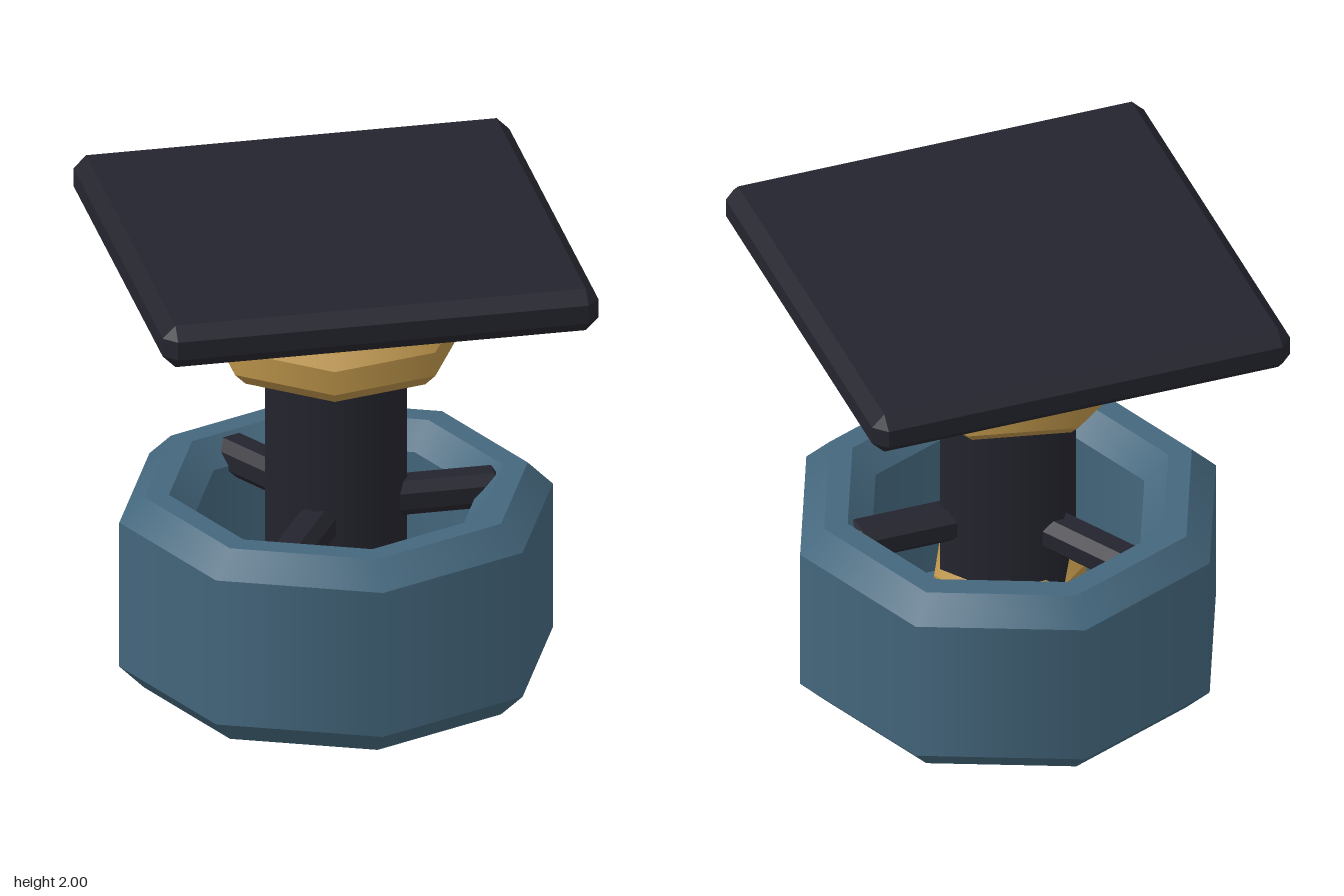
import * as THREE from 'three';
import { mergeGeometries } from 'three/addons/utils/BufferGeometryUtils.js';
import { ConvexGeometry } from 'three/addons/geometries/ConvexGeometry.js';

const mat = (name, color) => {
  const m = new THREE.MeshStandardMaterial({ color });
  m.name = name;
  return m;
};

// Few-sided turned solid: smooth around, sharp between profile segments.
// Profile runs outer side upwards, then inwards.
function turned(profile, sides) {
  const parts = [];
  for (let i = 0; i < profile.length - 1; i++) {
    const pts = [profile[i], profile[i + 1]].map(([r, y]) => new THREE.Vector2(r, y));
    parts.push(new THREE.LatheGeometry(pts, sides, Math.PI / 2));
  }
  return mergeGeometries(parts);
}

// Ring with a chamfered rectangular section
function ring(inner, outer, y0, y1, b, sides) {
  return turned([
    [outer - b, y0], [outer, y0 + b], [outer, y1 - b], [outer - b, y1],
    [inner + b, y1], [inner, y1 - b], [inner, y0 + b], [inner + b, y0], [outer - b, y0],
  ], sides);
}

// Box with every edge chamfered
function chamferBox(w, h, d, b) {
  const pts = [];
  for (const sx of [-1, 1]) for (const sy of [-1, 1]) for (const sz of [-1, 1]) {
    for (let k = 0; k < 3; k++) {
      const inset = [b, b, b];
      inset[k] = 0;
      pts.push(new THREE.Vector3(
        sx * (w / 2 - inset[0]), sy * (h / 2 - inset[1]), sz * (d / 2 - inset[2])));
    }
  }
  return new ConvexGeometry(pts);
}

export function createModel() {
  const model = new THREE.Group();
  model.name = 'ductedThruster';
  const teal = mat('teal paint', 0x44677d);
  const gold = mat('brass', 0xb89148);
  const dark = mat('dark metal', 0x24242e);

  const add = (name, geometry, material, parent = model) => {
    const mesh = new THREE.Mesh(geometry, material);
    mesh.name = name;
    parent.add(mesh);
    return mesh;
  };

  // Square mounting plate
  add('mountingPlate', chamferBox(1.81, 0.185, 1.81, 0.053), dark).position.y = 1.9075;

  // Six-sided shaft with chamfered ends
  add('shaft', turned([
    [0, 0.42], [0.24, 0.42], [0.295, 0.475], [0.295, 1.76], [0.235, 1.82], [0, 1.82],
  ], 6), dark);

  // Collar around the shaft
  add('collar', ring(0.31, 0.52, 1.41, 1.62, 0.053, 7), gold);

  // Eight-sided duct
  add('duct', ring(0.59, 0.9, 0, 0.85, 0.104, 8), teal);

  // Hub inside the duct
  add('hub', turned([
    [0, 0.25], [0.27, 0.25], [0.32, 0.3], [0.32, 0.5], [0.27, 0.55], [0, 0.55],
  ], 7), gold);

  // Three struts from shaft to duct
  const struts = new THREE.Group();
  struts.name = 'struts';
  model.add(struts);
  for (let i = 0; i < 3; i++) {
    const a = (i * Math.PI * 2) / 3;
    const strut = add('strut', chamferBox(0.5, 0.15, 0.16, 0.04), dark, struts);
    strut.position.set(0.44 * Math.cos(a), 0.76, 0.44 * Math.sin(a));
    strut.rotation.y = -a;
  }

  // Intake grille slats, each cut to the width of the opening
  const grille = new THREE.Group();
  grille.name = 'grille';
  model.add(grille);
  for (let i = -2; i <= 2; i++) {
    const z = i * 0.22;
    const half = 0.65 - 0.414 * Math.abs(z);
    add('slat', chamferBox(half * 2, 0.06, 0.13, 0.015), teal, grille).position.set(0, 0.12, z);
  }

  return model;
}
